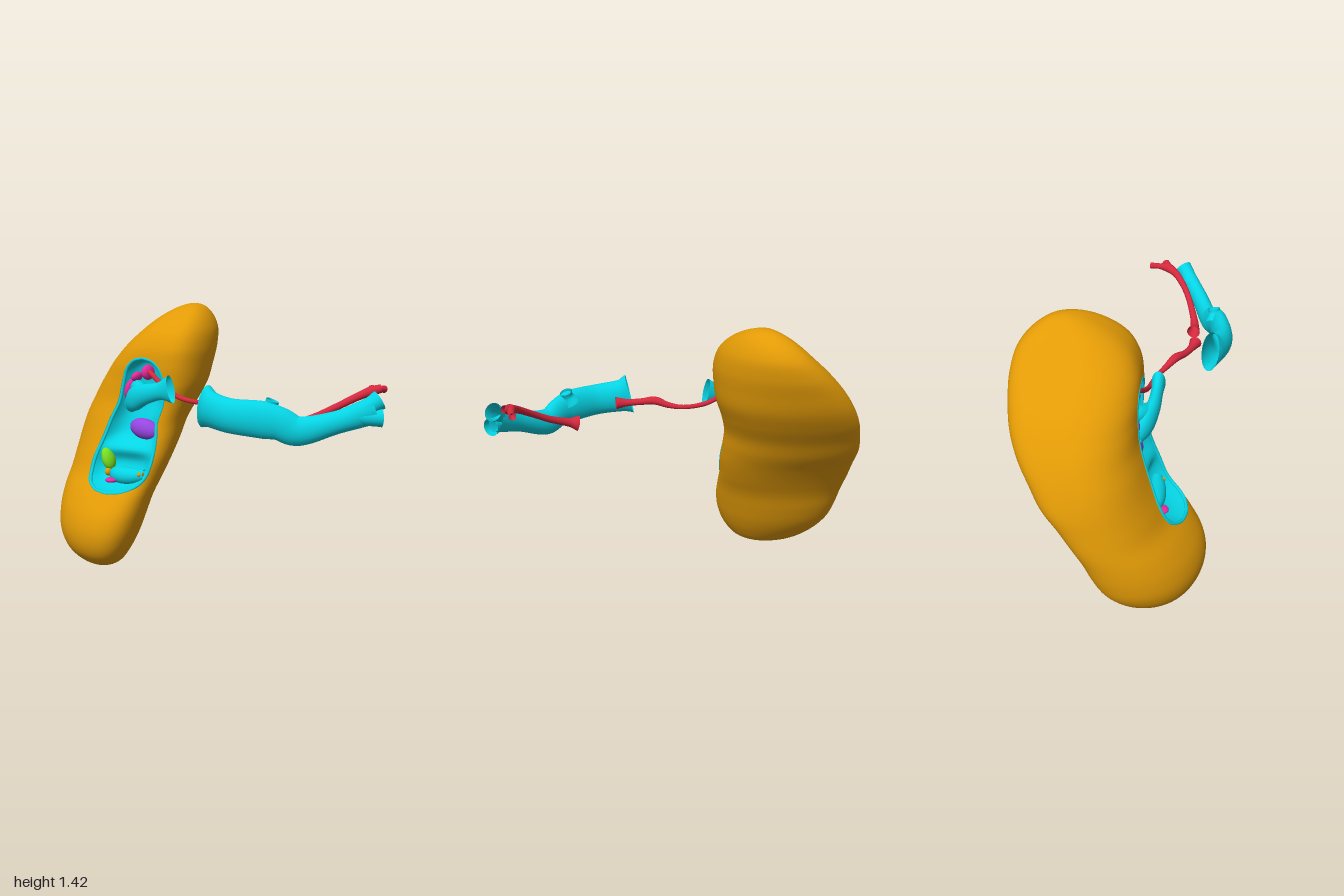
import * as THREE from 'three';
import { mergeVertices } from 'three/addons/utils/BufferGeometryUtils.js';

const material = (name, color) => {
  const m = new THREE.MeshStandardMaterial({ color, side: THREE.DoubleSide });
  m.name = name;
  return m;
};
const V = (x, y, z) => new THREE.Vector3(x, y, z);

// Smooth surface from a function of (u, v), both 0..1
function grid(f, nu, nv) {
  const pos = [], idx = [];
  for (let j = 0; j <= nv; j++) for (let i = 0; i <= nu; i++) pos.push(...f(i / nu, j / nv).toArray());
  for (let j = 0; j < nv; j++) for (let i = 0; i < nu; i++) {
    const a = j * (nu + 1) + i, b = a + 1, c = a + nu + 1, d = c + 1;
    idx.push(a, c, b, b, c, d);
  }
  let g = new THREE.BufferGeometry();
  g.setAttribute('position', new THREE.Float32BufferAttribute(pos, 3));
  g.setIndex(idx);
  g = mergeVertices(g, 1e-5);
  g.computeVertexNormals();
  return g;
}

// Open tube through [x, y, z, radius up, radius across]
function vessel(rows) {
  const path = new THREE.CatmullRomCurve3(rows.map(r => V(r[0], r[1], r[2])));
  const size = new THREE.CatmullRomCurve3(rows.map((r, i) => V(r[3], r[4] ?? r[3], i)), false, 'catmullrom', 0.5);
  return grid((u, v) => {
    const p = path.getPoint(v), T = path.getTangent(v), s = size.getPoint(v);
    const N = V(0, 1, 0).addScaledVector(T, -T.y).normalize(), B = T.clone().cross(N);
    const a = -u * Math.PI * 2;
    return p.addScaledVector(N, Math.cos(a) * s.x).addScaledVector(B, Math.sin(a) * s.y);
  }, 24, rows.length * 8);
}

// Organ cross-sections: y, left x, right x, back z, front z
const H = 1.425, TWIST = 0.4;
const sections = [
  [0, -0.63, -0.63, 0.3, 0.3], [0.03, -0.78, -0.485, 0.17, 0.4], [0.1, -0.885, -0.418, 0.08, 0.465],
  [0.2, -0.955, -0.373, 0, 0.487], [0.3, -0.98, -0.35, -0.05, 0.465], [0.4, -0.99, -0.335, -0.09, 0.405],
  [0.5, -0.995, -0.315, -0.145, 0.325], [0.6, -0.99, -0.295, -0.21, 0.275], [0.7, -0.98, -0.285, -0.285, 0.225],
  [0.8, -0.95, -0.275, -0.34, 0.18], [0.9, -0.905, -0.24, -0.4, 0.14], [1.0, -0.845, -0.2, -0.445, 0.125],
  [1.1, -0.77, -0.182, -0.467, 0.12], [1.2, -0.675, -0.175, -0.477, 0.1], [1.3, -0.565, -0.195, -0.455, 0.035],
  [1.4, -0.44, -0.275, -0.35, -0.13], [H, -0.36, -0.36, -0.25, -0.25],
];
const key = y => Math.acos(THREE.MathUtils.clamp(1 - 2 * y / H, -1, 1));
const keys = sections.map(s => key(s[0]));
const slope = (i, k) => {
  const a = Math.max(i - 1, 0), b = Math.min(i + 1, keys.length - 1);
  return (sections[b][k] - sections[a][k]) / (keys[b] - keys[a]);
};
function section(y) {
  const q = key(y);
  let i = 0;
  while (i < keys.length - 2 && q > keys[i + 1]) i++;
  const h = keys[i + 1] - keys[i], t = (q - keys[i]) / h, t2 = t * t, t3 = t2 * t;
  const [xl, xr, zb, zf] = [1, 2, 3, 4].map(k =>
    (2 * t3 - 3 * t2 + 1) * sections[i][k] + (t3 - 2 * t2 + t) * h * slope(i, k) +
    (3 * t2 - 2 * t3) * sections[i + 1][k] + (t3 - t2) * h * slope(i + 1, k));
  return { cx: (xl + xr) / 2, ax: (xr - xl) / 2, cz: (zb + zf) / 2, az: (zf - zb) / 2 };
}
// Slightly squared twisted oval, fuller at the front left of the upper half
const square = c => Math.sin(0.6 * c) / Math.sin(0.6);
function point(s, y, t) {
  const full = 0.1 * THREE.MathUtils.smoothstep(y, 0.2, 0.6) + 0.24 * THREE.MathUtils.smoothstep(y, 0.5, 1);
  const k = 1 + full * Math.max(0, Math.cos(t - 2.52)) ** 6;
  return V(s.cx + s.ax * k * square(Math.cos(t - TWIST)), y, s.cz + s.az * k * square(Math.sin(t)));
}
const skin = (y, t) => point(section(y), y, t);
function angleAt(y, x) {
  const s = section(y);
  let a = TWIST, b = TWIST + 2.5;
  for (let i = 0; i < 26; i++) {
    const m = (a + b) / 2;
    if (point(s, y, m).x > x) a = m; else b = m;
  }
  return a;
}

// Opening in the front: left x, y, right x
const rim = new THREE.CatmullRomCurve3([
  [-0.5, 0.43, -0.5], [-0.6, 0.443, -0.4], [-0.67, 0.485, -0.34], [-0.685, 0.58, -0.315], [-0.655, 0.7, -0.315],
  [-0.63, 0.8, -0.325], [-0.595, 0.9, -0.305], [-0.575, 1.0, -0.3], [-0.55, 1.08, -0.32],
  [-0.5, 1.125, -0.37], [-0.435, 1.14, -0.435],
].map(p => V(...p)));
const rimRow = v => {
  const p = rim.getPoint(v);
  return { y: p.y, tL: angleAt(p.y, p.x), tR: angleAt(p.y, p.z) };
};

export function createModel() {
  const model = new THREE.Group();
  const orange = material('orange outer tissue', 0xe39b06);
  const teal = material('teal vein and lining', 0x06d4e4);
  const red = material('red artery', 0xd4283e);
  const purple = material('purple funnel', 0x9646e0);
  const green = material('green lobe', 0x78e020);
  const pink = material('pink branch', 0xe82aa0);
  const add = (name, geometry, mat) => {
    const mesh = new THREE.Mesh(geometry, mat);
    mesh.name = name;
    model.add(mesh);
    return mesh;
  };

  // Outer body, wrapped around from one side of the opening to the other
  const low = rimRow(0), high = rimRow(1);
  const kLow = key(low.y), kHigh = key(high.y);
  const yFor = k => H / 2 * (1 - Math.cos(k));
  add('outerBody', grid((u, v) => {
    let r;
    if (v < 0.25) r = { ...low, y: yFor(kLow * v / 0.25) };
    else if (v <= 0.75) r = rimRow((v - 0.25) * 2);
    else r = { ...high, y: yFor(kHigh + (Math.PI - kHigh) * (v - 0.75) / 0.25) };
    return skin(r.y, r.tL + (r.tR + Math.PI * 2 - r.tL) * u);
  }, 80, 160), orange);

  // Hollow lining sunk into the opening, with a cross fold below the middle
  const inward = V(-0.25, 0, -0.97);
  add('hollowLining', grid((u, v) => {
    const r = rimRow(v);
    const p = skin(r.y, r.tR).lerp(skin(r.y, r.tL), u);
    const across = 1 - Math.pow(Math.abs(2 * u - 1), 3);
    const along = 1 - Math.pow(Math.abs(2 * v - 1), 5);
    const fold = Math.exp(-(((r.y - 0.64) / 0.05) ** 2));
    return p.addScaledVector(inward, (0.1 - 0.06 * fold) * across * along);
  }, 40, 80), teal);

  // Rounded lip just inside the opening
  const lip = [];
  const lipPoint = (y, t) => lip.push(skin(y, t).addScaledVector(inward, 0.006));
  for (let i = 0; i < 24; i++) { const r = rimRow(i / 24); lipPoint(r.y, r.tL + (r.tR - r.tL) * 0.03); }
  for (let i = 24; i > 0; i--) { const r = rimRow(i / 24); lipPoint(r.y, r.tR + (r.tL - r.tR) * 0.03); }
  add('openingLip', new THREE.TubeGeometry(new THREE.CatmullRomCurve3(lip, true), 160, 0.009, 8, true), teal);

  // Large vein with a small side branch and a forked far end
  add('mainVein', vessel([
    [0.165, 0.965, 0.375, 0.11, 0.05], [0.21, 0.955, 0.39, 0.09, 0.055], [0.34, 0.94, 0.415, 0.085, 0.055],
    [0.5, 0.93, 0.375, 0.09, 0.05], [0.57, 0.915, 0.345, 0.08, 0.048], [0.64, 0.882, 0.305, 0.072, 0.048],
    [0.8, 0.925, 0.22, 0.055, 0.045], [0.9, 0.965, 0.15, 0.062, 0.045], [0.945, 0.985, 0.115, 0.066, 0.045],
  ]), teal);
  add('veinForkUpper', vessel([[0.88, 0.97, 0.16, 0.045], [0.93, 1.005, 0.125, 0.042], [0.96, 1.03, 0.095, 0.048]]), teal);
  add('veinForkLower', vessel([[0.88, 0.955, 0.165, 0.045], [0.94, 0.95, 0.13, 0.04], [0.975, 0.95, 0.1, 0.046]]), teal);
  add('veinBranch', vessel([[0.5, 0.96, 0.35, 0.05], [0.52, 0.995, 0.345, 0.032], [0.53, 1.022, 0.34, 0.033]]), teal);

  // Vein stub leaving the hollow, forked at its root
  add('veinStub', vessel([
    [-0.53, 0.88, 0.12, 0.045, 0.035], [-0.47, 0.92, 0.155, 0.065, 0.04], [-0.38, 0.955, 0.175, 0.055, 0.035],
    [-0.28, 0.98, 0.175, 0.048, 0.03], [-0.21, 0.995, 0.17, 0.075, 0.035],
  ]), teal);
  add('veinFork', vessel([[-0.4, 0.955, 0.16, 0.04], [-0.47, 0.975, 0.12, 0.04], [-0.53, 0.965, 0.06, 0.045]]), teal);

  // Arteries
  add('innerArtery', vessel([
    [-0.45, 1.06, 0.07, 0.015], [-0.4, 1.06, 0.1, 0.014], [-0.32, 1.01, 0.115, 0.013], [-0.2, 0.95, 0.12, 0.013],
    [-0.07, 0.935, 0.135, 0.012], [0.01, 0.945, 0.17, 0.016], [0.07, 0.965, 0.205, 0.022],
    [0.14, 0.955, 0.245, 0.018], [0.21, 0.95, 0.268, 0.02], [0.27, 0.95, 0.28, 0.033],
  ]), red);
  add('outerArtery', vessel([
    [0.495, 0.875, 0.235, 0.042, 0.036], [0.54, 0.885, 0.235, 0.024], [0.65, 0.925, 0.2, 0.018],
    [0.76, 0.985, 0.145, 0.017], [0.85, 1.04, 0.07, 0.02], [0.89, 1.06, 0.01, 0.028],
  ]), red);
  add('arteryForkBack', vessel([[0.885, 1.058, 0.02, 0.028], [0.892, 1.058, -0.04, 0.016], [0.895, 1.055, -0.09, 0.018]]), red);
  add('arteryForkSide', vessel([[0.88, 1.055, 0.025, 0.026], [0.905, 1.065, 0.005, 0.022], [0.922, 1.07, -0.005, 0.02]]), red);

  // Soft lobes inside the hollow: name, material, centre, radii, tilt
  [
    ['purpleFunnel', purple, [-0.455, 0.745, 0.09], [0.1, 0.058, 0.05], -0.15],
    ['greenLobe', green, [-0.625, 0.58, 0.205], [0.034, 0.066, 0.045], 0.3],
    ['pinkBranchSide', pink, [-0.545, 0.955, 0.085], [0.028, 0.07, 0.06], -0.15],
    ['pinkBranchUpper', pink, [-0.52, 1.03, 0.075], [0.022, 0.03, 0.04], -0.4],
    ['pinkBranchTop', pink, [-0.44, 1.06, 0.075], [0.024, 0.042, 0.05], 0.1],
    ['pinkBranchLow', pink, [-0.56, 0.475, 0.255], [0.035, 0.015, 0.04], 0],
    ['orangeLobeLow', orange, [-0.61, 0.51, 0.22], [0.018, 0.024, 0.03], 0.2],
    ['orangeLobeRight', orange, [-0.385, 0.52, 0.22], [0.012, 0.016, 0.025], 0],
  ].forEach(([name, mat, centre, radii, tilt]) => {
    const mesh = add(name, new THREE.SphereGeometry(1, 24, 16), mat);
    mesh.position.set(...centre);
    mesh.scale.set(...radii);
    mesh.rotation.z = tilt;
  });

  // Cut vein end low in the hollow
  add('lowerVein', vessel([[-0.6, 0.5, 0.19, 0.03], [-0.54, 0.5, 0.215, 0.048], [-0.45, 0.502, 0.215, 0.046], [-0.37, 0.515, 0.2, 0.03]]), teal);
  return model;
}
